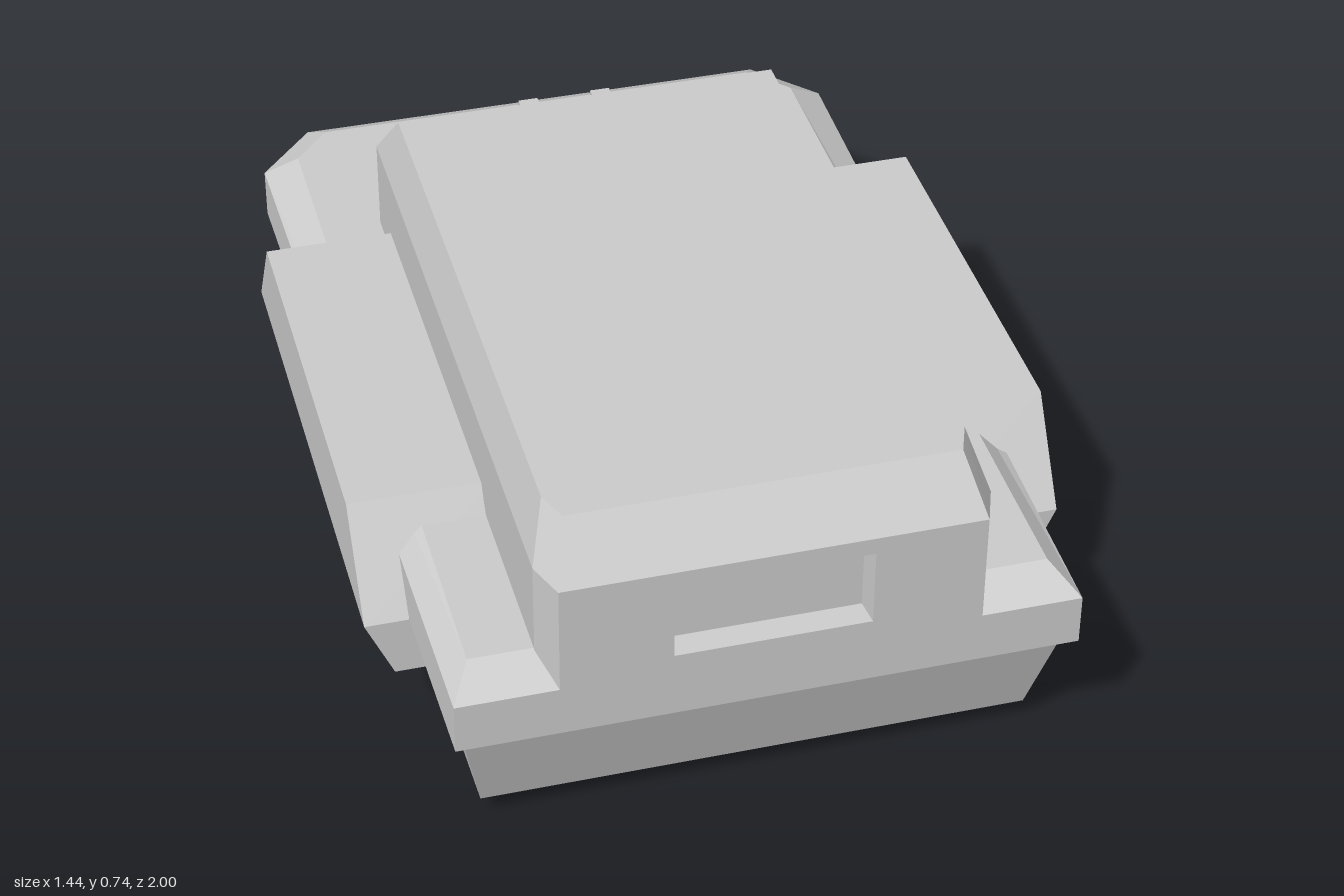
import * as THREE from 'three';

const material = new THREE.MeshStandardMaterial({ color: 0xcccccc, flatShading: true });

// Skins a stack of matching rings; caps are fans. skip(i, j) leaves a side panel open.
function loft(rings, { start = true, end = true, skip = () => false } = {}) {
  const pos = [];
  const tri = (...pts) => pts.forEach((p) => pos.push(...p));
  const n = rings[0].length;
  for (let i = 0; i < rings.length - 1; i++) {
    for (let j = 0; j < n; j++) {
      if (skip(i, j)) continue;
      const k = (j + 1) % n;
      const [a, b, c, d] = [rings[i][j], rings[i][k], rings[i + 1][k], rings[i + 1][j]];
      tri(a, b, c);
      tri(a, c, d);
    }
  }
  const first = rings[0], last = rings[rings.length - 1];
  for (let j = 1; j < n - 1; j++) {
    if (start) tri(first[0], first[j + 1], first[j]);
    if (end) tri(last[0], last[j], last[j + 1]);
  }
  const geometry = new THREE.BufferGeometry();
  geometry.setAttribute('position', new THREE.Float32BufferAttribute(pos, 3));
  geometry.computeVertexNormals();
  return geometry;
}

// Horizontal ring mirrored across x = 0, from its +x half listed front to back.
function ring(y, half) {
  const right = half.map(([x, z]) => [x, y, z]);
  const left = half.map(([x, z]) => [-x, y, z]).reverse();
  return [...right, ...left];
}

export function createModel() {
  const model = new THREE.Group();
  const add = (name, geometry, parent = model) => {
    const mesh = new THREE.Mesh(geometry, material);
    mesh.name = name;
    parent.add(mesh);
    return mesh;
  };

  // Hull: flared tub with sharp front corners and chamfered rear corners
  add('hull', loft([
    ring(0, [[0.525, 0.84], [0.55, -0.73], [0.45, -0.84]]),
    ring(0.05, [[0.56, 0.9], [0.59, -0.78], [0.48, -0.9]]),
    ring(0.25, [[0.6, 0.96], [0.63, -0.83], [0.51, -0.96]]),
    ring(0.28, [[0.625, 1], [0.655, -0.86], [0.53, -1]]),
    ring(0.39, [[0.625, 1], [0.655, -0.86], [0.53, -1]]),
    ring(0.43, [[0.58, 0.915], [0.58, -0.84], [0.5, -0.93]]),
  ]));

  // Cabin: long bevelled block, front panel left open for the window
  const cabin = new THREE.Group();
  cabin.name = 'cabin';
  model.add(cabin);
  const cabinBase = [[0.42, 1], [0.45, 0.92], [0.45, -0.545]];
  add('cabinShell', loft([
    ring(0.39, cabinBase),
    ring(0.63, cabinBase),
    ring(0.74, [[0.39, 0.915], [0.415, 0.85], [0.415, -0.46]]),
  ], { skip: (i, j) => i === 0 && j === 5 }), cabin);

  // Front panel with a rectangular opening
  const windowRing = (w, y0, y1, z) => [[-w, y0, z], [-w, y1, z], [w, y1, z], [w, y0, z]];
  const opening = windowRing(0.197, 0.425, 0.593, 1);
  const panel = new THREE.Shape([[-0.42, 0.39], [0.42, 0.39], [0.42, 0.63], [-0.42, 0.63]]
    .map(([x, y]) => new THREE.Vector2(x, y)));
  panel.holes.push(new THREE.Path(opening.map(([x, y]) => new THREE.Vector2(x, y))));
  add('frontPanel', new THREE.ShapeGeometry(panel).translate(0, 0, 1), cabin);

  // Recess behind the opening
  add('windowRecess', loft([windowRing(0.19, 0.43, 0.585, 0.95), opening], { end: false }), cabin);

  // Side pods: sloped ends and an undercut outer face
  for (const [side, name] of [[1, 'leftPod'], [-1, 'rightPod']]) {
    const podRing = (y, outer, front, back) => {
      const [x0, x1] = [0.42 * side, outer * side].sort((a, b) => a - b);
      return [[x1, y, front], [x1, y, back], [x0, y, back], [x0, y, front]];
    };
    add(name, loft([
      podRing(0.15, 0.665, 0.605, -0.56),
      podRing(0.28, 0.722, 0.605, -0.56),
      podRing(0.485, 0.722, 0.47, -0.42),
    ]));
  }

  // Pair of rear lugs
  for (const [side, name] of [[1, 'leftLug'], [-1, 'rightLug']]) {
    add(name, new THREE.BoxGeometry(0.043, 0.13, 0.145)).position.set(0.082 * side, 0.545, -0.6025);
  }

  return model;
}
